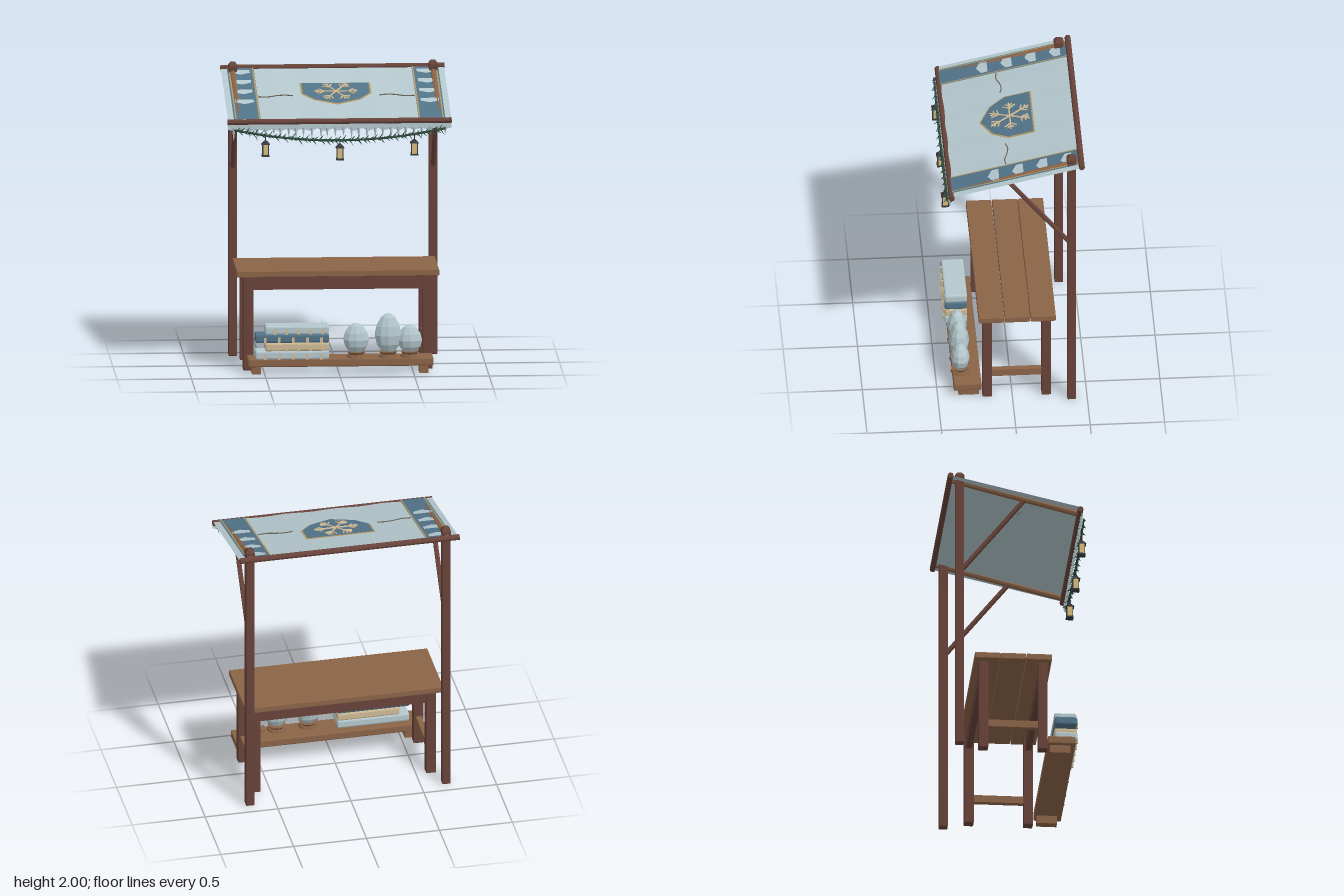
import * as THREE from 'three';
import { RoundedBoxGeometry } from 'three/addons/geometries/RoundedBoxGeometry.js';

const mat = (name, color, double) => {
  const m = new THREE.MeshStandardMaterial({ color });
  m.name = name;
  m.flatShading = true;
  if (double) m.side = THREE.DoubleSide;
  return m;
};

export function createModel() {
  const darkWood = mat('dark wood', 0x68433a), wood = mat('light wood', 0x8a6347);
  const cloth = mat('pale cloth', 0xb3c7cc, true), blue = mat('blue cloth', 0x527388, true);
  const gold = mat('gold trim', 0xb0945f, true), cream = mat('cream thread', 0xcdb994);
  const green = mat('pine green', 0x304d3e), iron = mat('dark iron', 0x353a3e);
  const glow = mat('lantern glow', 0xd9ba7c), cord = mat('grey cord', 0x6c665c);

  const model = new THREE.Group();
  const V = (x, y, z) => new THREE.Vector3(x, y, z);
  let seed = 7;
  const rand = () => (seed = (seed * 16807) % 2147483647) / 2147483647;

  const group = (name, parent = model) => {
    const g = new THREE.Group();
    g.name = name;
    parent.add(g);
    return g;
  };
  const add = (name, geo, m, parent = model, x = 0, y = 0, z = 0) => {
    const mesh = new THREE.Mesh(geo, m);
    mesh.name = name;
    mesh.position.set(x, y, z);
    parent.add(mesh);
    return mesh;
  };
  // box given by its limits; bevel > 0 chamfers the edges
  const block = (name, m, [x0, x1], [y0, y1], [z0, z1], bevel = 0, parent = model) => {
    const s = [x1 - x0, y1 - y0, z1 - z0];
    const geo = bevel ? new RoundedBoxGeometry(...s, 1, bevel) : new THREE.BoxGeometry(...s);
    return add(name, geo, m, parent, (x0 + x1) / 2, (y0 + y1) / 2, (z0 + z1) / 2);
  };
  // tapered rod from a to b
  const rod = (name, m, a, b, r0, r1 = r0, sides = 8, parent = model) => {
    const d = b.clone().sub(a);
    const mesh = add(name, new THREE.CylinderGeometry(r1, r0, d.length(), sides), m, parent);
    mesh.position.copy(a).addScaledVector(d, 0.5);
    mesh.quaternion.setFromUnitVectors(V(0, 1, 0), d.normalize());
    return mesh;
  };

  // Posts, caps, rafters and braces
  for (const s of [-1, 1]) {
    const side = group(s > 0 ? 'leftFrame' : 'rightFrame');
    const x = 0.673 * s;
    block('post', darkWood, [x - 0.029, x + 0.029], [0, 1.965], [-0.424, -0.366], 0.006, side);
    block('postCap', darkWood, [x - 0.031, x + 0.031], [1.945, 1.982], [-0.427, -0.363], 0.008, side);
    const tip = add('capTip', new THREE.CylinderGeometry(0.018, 0.04, 0.02, 4), darkWood, side, x, 1.99, -0.395);
    tip.rotation.y = Math.PI / 4;
    rod('rafter', wood, V(x, 1.942, -0.44), V(x, 1.73, 0.4), 0.02, 0.02, 8, side);
    rod('brace', darkWood, V(x, 1.285, -0.38), V(x, 1.82, 0.045), 0.017, 0.017, 6, side);
  }
  rod('backRail', darkWood, V(-0.752, 1.947, -0.46), V(0.752, 1.947, -0.46), 0.02);
  rod('frontRail', darkWood, V(-0.752, 1.73, 0.414), V(0.752, 1.73, 0.414), 0.02);

  // Sloping canopy with faint ripples
  const slope = (z) => 1.945 - 0.232 * (z + 0.45);
  const canopy = group('canopy');
  const sheet = new THREE.PlaneGeometry(1.5, 0.87, 30, 4).rotateX(-Math.PI / 2).translate(0, 0, -0.018);
  const sp = sheet.attributes.position;
  for (let i = 0; i < sp.count; i++) {
    sp.setY(i, slope(sp.getZ(i)) - 0.002 - 0.002 * Math.sin(sp.getX(i) * 19));
  }
  sheet.computeVertexNormals();
  add('canopySheet', sheet, cloth, canopy);

  // flat patch laid on the canopy, outline given as [x, z]
  const patch = (name, m, pts, lift) => {
    const shape = new THREE.Shape(pts.map(([x, z]) => new THREE.Vector2(x, -z)));
    const geo = new THREE.ShapeGeometry(shape).rotateX(-Math.PI / 2);
    const p = geo.attributes.position;
    for (let i = 0; i < p.count; i++) p.setY(i, slope(p.getZ(i)) + lift);
    geo.computeVertexNormals();
    return add(name, geo, m, canopy);
  };
  const rect = (x0, x1, z0, z1) => [[x0, z0], [x0, z1], [x1, z1], [x1, z0]];
  for (const s of [-1, 1]) {
    patch('sideBand', blue, rect(0.53 * s, 0.71 * s, -0.445, 0.41), 0.004);
    for (const x of [0.537, 0.696]) {
      patch('bandTrim', gold, rect((x - 0.005) * s, (x + 0.005) * s, -0.445, 0.41), 0.007);
    }
    for (const z of [-0.4, -0.236, -0.074, 0.09]) {
      patch('bandPennant', cloth, [[0.56, z], [0.684, z], [0.684, z + 0.045], [0.622, z + 0.075], [0.56, z + 0.045]]
        .map(([x, w]) => [x * s, w]), 0.007);
    }
    const pts = [[0.29, 0.025], [0.34, 0.013], [0.4, 0.02], [0.46, 0.04], [0.525, 0.036]];
    const path = new THREE.CatmullRomCurve3(pts.map(([x, z]) => V(x * s, slope(z) + 0.003, z)));
    add('cordDetail', new THREE.TubeGeometry(path, 16, 0.004, 5), cord, canopy);
  }

  // Shield and snowflake
  const shield = [[-0.237, -0.178], [0.237, -0.178], [0.237, 0], [0.158, 0.106], [0, 0.182], [-0.158, 0.106], [-0.237, 0]];
  patch('shieldBorder', gold, shield, 0.005);
  patch('shieldField', blue, shield.map(([x, z]) => [x * 0.95, z * 0.94]), 0.009);
  const flake = group('snowflake', canopy);
  const at = (r, a, from = [0, -0.022]) => [from[0] + r * Math.cos(a), from[1] + r * Math.sin(a)];
  const bar = (p, q) => rod('snowflakeBar', cream, V(p[0], slope(p[1]) + 0.012, p[1]),
    V(q[0], slope(q[1]) + 0.012, q[1]), 0.007, 0.005, 5, flake);
  for (let i = 0; i < 6; i++) {
    const a = i * Math.PI / 3;
    bar(at(0, 0), at(0.15, a));
    for (const t of [-0.9, 0.9]) {
      bar(at(0.085, a), at(0.052, a + t, at(0.085, a)));
      bar(at(0.115, a), at(0.03, a + t, at(0.115, a)));
    }
  }

  // Hanging valance with a ragged hem, and icicles
  const hem = new THREE.Shape();
  hem.moveTo(-0.75, 1.735);
  for (let i = 0; i <= 30; i++) hem.lineTo(-0.75 + i * 0.05, 1.672 + (i % 2 ? -0.008 : 0.008) + 0.006 * rand());
  hem.lineTo(0.75, 1.735);
  add('valance', new THREE.ShapeGeometry(hem), cloth, canopy, 0, 0, 0.424);
  const icicles = group('icicles');
  for (let i = 0; i < 28; i++) {
    const x = -0.71 + i * 0.0526 + 0.015 * (rand() - 0.5);
    rod('icicle', cloth, V(x, 1.69, 0.424), V(x, 1.65 - 0.055 * rand(), 0.424), 0.012, 0.001, 5, icicles);
  }

  // Pine garland
  const sag = (x) => 1.605 + 0.075 * (x / 0.71) ** 2;
  const garland = group('garland');
  const rope = new THREE.CatmullRomCurve3([-0.71, -0.47, -0.24, 0, 0.24, 0.47, 0.71].map((x) => V(x, sag(x), 0.438)));
  add('garlandRope', new THREE.TubeGeometry(rope, 36, 0.008, 6), green, garland);
  for (let i = 0; i < 120; i++) {
    const x = -0.7 + i * 1.4 / 119;
    const a = i * 2.4, len = 0.024 + 0.016 * rand();
    const p = V(x, sag(x), 0.438);
    const q = p.clone().add(V(0.025, len * Math.sin(a), 0.75 * len * Math.cos(a)));
    rod('needle', green, p, q, 0.006, 0.0008, 4, garland);
  }

  // Lanterns
  for (const [x, y] of [[-0.5, 1.5], [0, 1.472], [0.5, 1.5]]) {
    const l = group('lantern');
    l.position.set(x, y, 0.442);
    add('lanternBase', new THREE.BoxGeometry(0.05, 0.012, 0.05), iron, l, 0, 0.006, 0);
    add('lanternGlass', new THREE.BoxGeometry(0.038, 0.074, 0.038), glow, l, 0, 0.047, 0);
    for (const i of [-1, 1]) for (const j of [-1, 1]) {
      add('lanternBar', new THREE.BoxGeometry(0.006, 0.074, 0.006), iron, l, i * 0.019, 0.047, j * 0.019);
    }
    const roof = add('lanternRoof', new THREE.CylinderGeometry(0.01, 0.041, 0.026, 4), iron, l, 0, 0.096, 0);
    roof.rotation.y = Math.PI / 4;
    rod('lanternHook', iron, V(0, 0.1, 0), V(0, sag(x) - y, 0), 0.004, 0.004, 5, l);
  }

  // Table
  const table = group('table');
  for (const z of [-0.29, -0.117, 0.058]) {
    block('tablePlank', wood, [-0.68, 0.68], [0.638, 0.681], [z, z + 0.17], 0.005, table);
  }
  for (const x of [-0.602, 0.602]) {
    for (const z of [-0.229, 0.169]) {
      block('tableLeg', darkWood, [x - 0.034, x + 0.034], [0, 0.636], [z - 0.032, z + 0.032], 0.006, table);
    }
    block('sideStretcher', wood, [x - 0.02, x + 0.02], [0.16, 0.21], [-0.2, 0.14], 0, table);
  }
  for (const z of [-0.229, 0.169]) block('apron', darkWood, [-0.6, 0.6], [0.547, 0.632], [z - 0.02, z + 0.02], 0, table);

  // Low display bench
  const bench = group('lowBench');
  block('benchBoard', wood, [-0.613, 0.633], [0.055, 0.11], [0.207, 0.393], 0.008, bench);
  for (const x of [-0.555, 0.57]) block('benchFoot', wood, [x - 0.03, x + 0.03], [0, 0.058], [0.222, 0.36], 0, bench);

  // Folded blankets with fringe
  const blankets = group('blankets');
  [[cloth, -0.565], [cream, -0.5], [blue, -0.565], [cloth, -0.5]].forEach(([m, x0], i) => {
    const y = 0.108 + i * 0.0565;
    block('blanket', m, [x0, -0.07], [y, y + 0.058], [0.258, 0.408], 0.012, blankets);
    for (let k = 0; k < 5; k++) {
      const x = x0 + 0.065 + k * (-0.13 - x0) / 4.6;
      block('fringe', cream, [x - 0.009, x + 0.009], [y + 0.002, y + 0.038], [0.4, 0.416], 0, blankets);
    }
  });

  // Faceted eggs on turned stands
  const profile = [[0, 0], [0.5, 0.05], [0.85, 0.22], [1, 0.45], [0.86, 0.68], [0.52, 0.9], [0.2, 0.985], [0, 1]];
  for (const [x, h, r] of [[0.115, 0.205, 0.09], [0.33, 0.27, 0.094], [0.475, 0.19, 0.087]]) {
    const e = group('eggOnStand');
    e.position.set(x, 0.108, 0.34);
    add('standBase', new THREE.CylinderGeometry(0.06, 0.066, 0.02, 10), wood, e, 0, 0.01, 0);
    add('standRing', new THREE.CylinderGeometry(0.062, 0.05, 0.018, 10), wood, e, 0, 0.031, 0);
    const egg = add('egg', new THREE.LatheGeometry(profile.map(([a, b]) => new THREE.Vector2(a * r, b * h)), 10), cloth, e, 0, 0.03, 0);
    egg.scale.z = 0.74;
  }
  return model;
}
